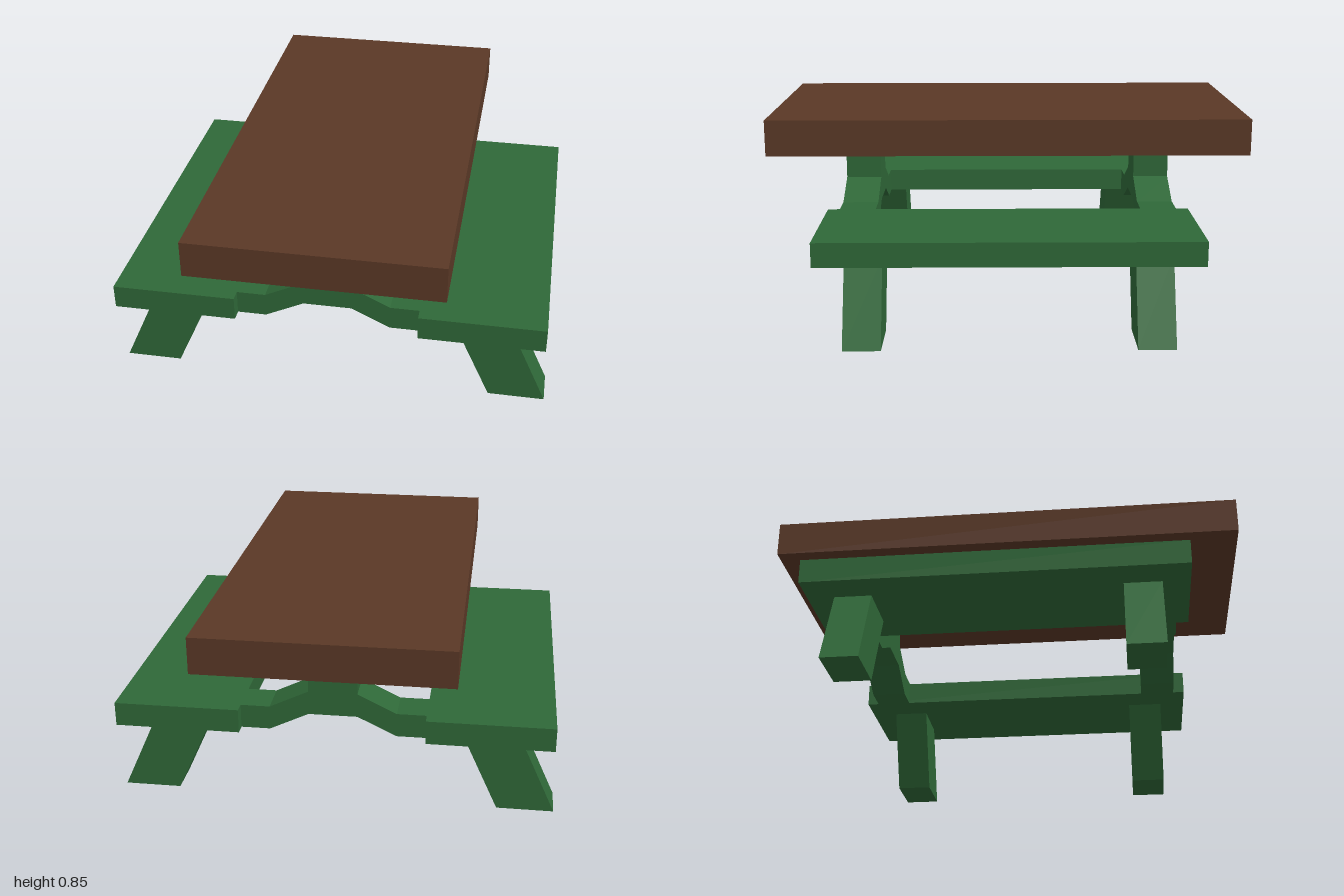
import * as THREE from 'three';

const brown = new THREE.MeshStandardMaterial({ name: 'brown wood', color: 0x5a3826 });
const green = new THREE.MeshStandardMaterial({ name: 'green paint', color: 0x2f6838 });

// Extrudes an x-y outline along z, centred on the given z
function slab(name, points, depth, z, material) {
  const shape = new THREE.Shape(points.map(([x, y]) => new THREE.Vector2(x, y)));
  const geometry = new THREE.ExtrudeGeometry(shape, { depth, bevelEnabled: false });
  const mesh = new THREE.Mesh(geometry, material);
  mesh.name = name;
  mesh.position.z = z - depth / 2;
  return mesh;
}

export function createModel() {
  const table = new THREE.Group();
  table.name = 'picnicTable';

  // Table top
  const top = new THREE.Mesh(new THREE.BoxGeometry(1.02, 0.15, 2), brown);
  top.name = 'tableTop';
  top.position.y = 0.772;
  table.add(top);

  // Benches
  for (const side of [1, -1]) {
    const bench = new THREE.Mesh(new THREE.BoxGeometry(0.515, 0.1, 1.54), green);
    bench.name = side > 0 ? 'leftBench' : 'rightBench';
    bench.position.set(side * 0.6375, 0.388, 0);
    table.add(bench);
  }

  // Half outline of the arched support and its post, mirrored below
  const half = [[0.1, 0.415], [0.26, 0.338], [0.382, 0.338], [0.382, 0.438],
    [0.26, 0.438], [0.1, 0.515], [0.1, 0.698]];
  const support = [...half, ...half.map(([x, y]) => [-x, y]).reverse()];

  // Slanted leg outline
  const leg = [[0.675, 0], [0.91, 0], [0.755, 0.34], [0.52, 0.34]];

  for (const end of [1, -1]) {
    const place = end > 0 ? 'front' : 'back';
    table.add(slab(place + 'Support', support, 0.153, end * 0.643, green));
    for (const side of [1, -1]) {
      const outline = leg.map(([x, y]) => [side * x, y]);
      const name = place + (side > 0 ? 'Left' : 'Right') + 'Leg';
      table.add(slab(name, outline, 0.153, end * 0.583, green));
    }
  }
  return table;
}
